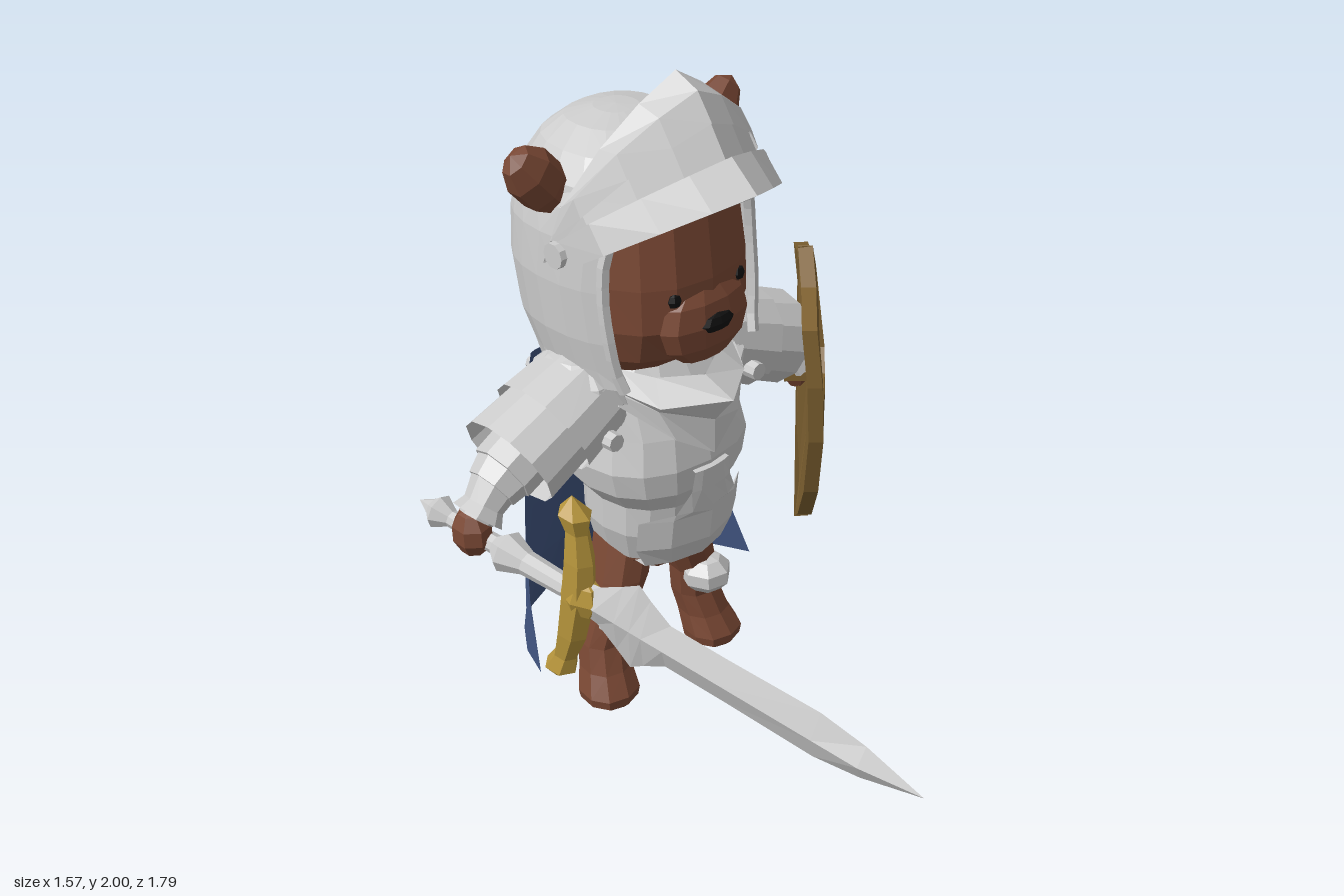
import * as THREE from 'three';

const V = (x, y, z) => new THREE.Vector3(x, y, z);
const mat = (color) => new THREE.MeshStandardMaterial({ color, flatShading: true, side: THREE.DoubleSide });
const steel = mat(0xcccccc), fur = mat(0x7a4834), blue = mat(0x40547f), gold = mat(0xb8963c);
const bronze = mat(0x7d6030), white = mat(0xf0f0e4), black = mat(0x101010);

export function createModel() {
  const model = new THREE.Group();
  const bear = new THREE.Group();
  bear.name = 'bearKnight';
  bear.position.x = -0.095;
  model.add(bear);

  const add = (parent, name, geometry, material, x = 0, y = 0, z = 0) => {
    const m = new THREE.Mesh(geometry, material);
    m.name = name;
    m.position.set(x, y, z);
    parent.add(m);
    return m;
  };
  // Skin a list of equally long point rows
  const grid = (rows) => {
    const n = rows[0].length, index = [];
    for (let i = 0; i < rows.length - 1; i++)
      for (let j = 0; j < n - 1; j++) {
        const a = i * n + j, b = a + n;
        index.push(a, b, b + 1, a, b + 1, a + 1);
      }
    const g = new THREE.BufferGeometry().setFromPoints(rows.flat());
    g.setIndex(index);
    g.computeVertexNormals();
    return g;
  };
  // Rounded ring point; row = [y, half width, back z, front z, centre x]
  const pow = (v) => Math.sign(v) * Math.abs(v) ** 0.87;
  const ringPoint = ([y, rx, zb, zf, cx = 0], a) =>
    V(cx + rx * pow(Math.sin(a)), y, (zb + zf) / 2 + (zf - zb) / 2 * pow(Math.cos(a)));
  const loft = (rows, n, gaps = []) => grid(rows.map((r, i) => {
    const a0 = gaps[i] || 0;
    return Array.from({ length: n + 1 }, (_, j) => ringPoint(r, a0 + (2 * Math.PI - 2 * a0) * j / n));
  }));
  // Tapered tube from a to b
  const rod = (parent, name, a, b, r0, r1, material, sides = 8, open = false) => {
    const m = add(parent, name, new THREE.CylinderGeometry(r1, r0, a.distanceTo(b), sides, 1, open), material);
    m.position.copy(a).lerp(b, 0.5);
    m.quaternion.setFromUnitVectors(V(0, 1, 0), b.clone().sub(a).normalize());
    return m;
  };
  const ball = (parent, name, pos, size, material, w = 8, h = 6) => {
    const m = add(parent, name, new THREE.SphereGeometry(1, w, h), material, ...pos);
    m.scale.set(...size);
    return m;
  };
  // Move the z of each vertex by a rule
  const bendZ = (g, rule) => {
    const p = g.attributes.position;
    for (let i = 0; i < p.count; i++) p.setZ(i, rule(p.getX(i), p.getY(i), p.getZ(i)));
    return g;
  };

  // Head and face
  add(bear, 'head', loft([[1.76, 0, -0.5, -0.5], [1.76, 0.1, -0.62, -0.4], [1.71, 0.2, -0.72, -0.28],
    [1.63, 0.245, -0.76, -0.225], [1.45, 0.262, -0.76, -0.21], [1.32, 0.262, -0.74, -0.215], [1.22, 0.24, -0.7, -0.26],
    [1.16, 0.2, -0.68, -0.34], [1.13, 0.12, -0.6, -0.42], [1.1, 0.12, -0.6, -0.42]], 16), fur);
  ball(bear, 'muzzle', [0, 1.32, -0.25], [0.16, 0.13, 0.062], fur, 10, 6);
  ball(bear, 'nose', [0, 1.325, -0.195], [0.06, 0.028, 0.018], black, 8, 4);

  // Helmet shell, open at the face, with a rim around the opening
  const shell = [[1.845, 0, -0.57, -0.57], [1.842, 0.06, -0.63, -0.51], [1.825, 0.14, -0.7, -0.43], [1.78, 0.21, -0.76, -0.33],
    [1.715, 0.262, -0.805, -0.25], [1.66, 0.285, -0.83, -0.225], [1.58, 0.305, -0.845, -0.215], [1.45, 0.315, -0.85, -0.21],
    [1.3, 0.31, -0.83, -0.2], [1.21, 0.295, -0.79, -0.2], [1.16, 0.29, -0.77, -0.2]];
  const gaps = [0, 0, 0, 0, 0, 0.75, 0.95, 1, 1, 1, 0.95];
  add(bear, 'helmet', loft(shell, 20, gaps), steel);
  const edge = shell.slice(4).map((r, i) => ringPoint(r, gaps[i + 4]));
  const rimPath = [...edge.slice(1).reverse().map((p) => V(-p.x, p.y, p.z)), ...edge];
  add(bear, 'helmetRim', new THREE.TubeGeometry(new THREE.CatmullRomCurve3(rimPath), 28, 0.018, 5), steel);

  // Raised visor: pointed arches from the tip back to the pivots; [y, z] at tip and at pivot
  const archS = [0, 0.14, 0.35, 0.65, 1], archX = [0, 0.11, 0.22, 0.32, 0.345];
  const arch = ([ty, tz, by, bz], k = 1) => [-4, -3, -2, -1, 0, 1, 2, 3, 4].map((i) => {
    const s = archS[Math.abs(i)];
    return V(Math.sign(i) * archX[Math.abs(i)] * k, ty + (by - ty) * s, tz + (bz - tz) * s);
  });
  add(bear, 'visorBrim', grid([arch([1.8, -0.15, 1.59, -0.43], 0.95), arch([1.82, -0.13, 1.6, -0.43]),
    arch([1.74, -0.04, 1.53, -0.4]), arch([1.72, -0.07, 1.53, -0.41], 0.95)]), steel);
  add(bear, 'visorPlate', grid([arch([1.965, -0.25, 1.6, -0.46], 0.97), arch([1.8, -0.15, 1.56, -0.43], 0.97)]), steel);
  add(bear, 'visorCrest', grid([arch([1.96, -0.33, 1.53, -0.47], 0.94), arch([2, -0.33, 1.52, -0.49]),
    arch([1.965, -0.25, 1.6, -0.45]), arch([1.89, -0.2, 1.57, -0.44])]), steel);

  // Torso armour
  add(bear, 'breastplate', loft([[1.2, 0, -0.5, -0.5], [1.2, 0.16, -0.66, -0.36], [1.1, 0.24, -0.71, -0.3],
    [0.97, 0.25, -0.72, -0.25], [0.87, 0.272, -0.715, -0.235], [0.79, 0.255, -0.7, -0.245], [0.72, 0.2, -0.68, -0.285],
    [0.62, 0.2, -0.68, -0.295], [0.52, 0.17, -0.67, -0.33]], 16), steel);
  // rows of [y, half width, z]
  add(bear, 'bellyPlate', grid([[0.865, 0.06, -0.27], [0.855, 0.065, -0.222], [0.79, 0.075, -0.225], [0.72, 0.115, -0.232],
    [0.7, 0.2, -0.235], [0.6, 0.2, -0.25], [0.53, 0.165, -0.285], [0.525, 0.16, -0.34]].map(([y, w, z]) =>
    [-1, -0.6, 0, 0.6, 1].map((u) => V(u * w, y, z - 2.4 * (u * w) ** 2)))), steel);
  const ring = (half) => {
    const h = half.map((p) => V(...p));
    return [...h, ...h.slice(0, -1).reverse().map((p) => V(-p.x, p.y, p.z))];
  };
  add(bear, 'gorget', grid([
    [[0, 1.14, -0.25], [0.12, 1.15, -0.32], [0.18, 1.17, -0.4], [0.2, 1.17, -0.55], [0, 1.17, -0.68]],
    [[0, 1.1, -0.14], [0.16, 1.09, -0.26], [0.22, 1.13, -0.38], [0.23, 1.15, -0.55], [0, 1.17, -0.71]],
    [[0, 1.01, -0.215], [0.15, 1.07, -0.28], [0.23, 1.13, -0.38], [0.24, 1.13, -0.57], [0, 1.13, -0.72]],
    [[0, 0.9, -0.22], [0.12, 0.98, -0.245], [0.24, 1.1, -0.34], [0.26, 1.08, -0.58], [0, 1.06, -0.73]],
  ].map(ring)), steel);
  add(bear, 'hips', loft([[0.62, 0.17, -0.66, -0.36], [0.5, 0.165, -0.65, -0.37],
    [0.43, 0.08, -0.6, -0.42], [0.42, 0, -0.5, -0.5]], 12), fur);

  // Paired parts, drawn for +x and mirrored
  for (const s of [1, -1]) {
    const side = new THREE.Group();
    side.name = s > 0 ? 'leftSide' : 'rightSide';
    side.scale.x = s;
    bear.add(side);
    ball(side, 'eye', [0.117, 1.415, -0.235], [0.024, 0.022, 0.015], black, 6, 4);
    ball(side, 'ear', [0.315, 1.735, -0.53], [0.08, 0.12, 0.06], fur, 7, 5).rotation.z = -0.72;
    rod(side, 'visorPivot', V(0.3, 1.565, -0.43), V(0.36, 1.565, -0.43), 0.04, 0.036, steel, 10);
    // Leg and knee guard
    add(side, 'leg', loft([[0.58, 0.08, -0.62, -0.42, 0.09], [0.42, 0.08, -0.61, -0.42, 0.13], [0.3, 0.068, -0.59, -0.44, 0.17],
      [0.2, 0.075, -0.6, -0.455, 0.19], [0.12, 0.076, -0.59, -0.43, 0.205], [0.05, 0.09, -0.575, -0.395, 0.217],
      [0.02, 0.084, -0.572, -0.4, 0.217], [0, 0.055, -0.55, -0.42, 0.217], [0, 0, -0.49, -0.49, 0.217]], 9), fur);
    ball(side, 'kneeGuard', [0.17, 0.293, -0.455], [0.08, 0.065, 0.085], steel, 7, 5);
    // Arm with layered shoulder plates
    ball(side, 'shoulderCap', [0.25, 1.09, -0.5], [0.14, 0.14, 0.165], steel, 10, 6);
    for (const [name, a, b, r0, r1] of [
      ['upperShoulderPlate', V(0.22, 1.1, -0.5), V(0.38, 1.03, -0.5), 0.14, 0.155],
      ['lowerShoulderPlate', V(0.32, 1.055, -0.5), V(0.505, 0.975, -0.5), 0.135, 0.145]])
      rod(side, name, a, b, r0, r1, steel, 12, true).scale.z = 1.12;
    rod(side, 'upperArm', V(0.3, 1.07, -0.5), V(0.53, 0.95, -0.5), 0.1, 0.095, steel);
    rod(side, 'elbow', V(0.5, 0.965, -0.5), V(0.57, 0.92, -0.5), 0.095, 0.075, steel);
    rod(side, 'forearm', V(0.55, 0.935, -0.5), V(0.63, 0.85, -0.5), 0.072, 0.05, steel);
    rod(side, 'cuff', V(0.595, 0.885, -0.5), V(0.625, 0.855, -0.5), 0.055, 0.075, steel);
    ball(side, 'hand', [0.64, 0.81, -0.51], [0.055, 0.075, 0.062], fur, 7, 5);
    rod(side, 'shoulderRivet', V(0.275, 1.01, -0.36), V(0.275, 1.01, -0.315), 0.028, 0.026, steel);
    rod(side, 'capeRivet', V(0.225, 1.085, -0.66), V(0.225, 1.085, -0.73), 0.026, 0.023, steel);
  }

  // Cape: rows of [y, half width, back z, edge z]
  add(bear, 'cape', grid([[1.12, 0.26, -0.725, -0.685], [1.02, 0.285, -0.75, -0.685], [0.88, 0.32, -0.77, -0.67],
    [0.6, 0.365, -0.785, -0.64], [0.38, 0.4, -0.82, -0.6], [0.17, 0.435, -0.895, -0.53]].map(([y, w, zb, ze]) =>
    Array.from({ length: 11 }, (_, j) => {
      const a = (j / 5 - 1) * Math.PI / 2.4, u = Math.sin(a) / Math.sin(Math.PI / 2.4);
      return V(-w * u, y + 0.025 * u * u, zb + (ze - zb) * (1 - Math.cos(a)) / (1 - Math.cos(Math.PI / 2.4)));
    }))), blue);

  // Sword, built along +z from the guard
  const sword = new THREE.Group();
  sword.name = 'sword';
  sword.position.set(-0.66, 0.735, -0.185);
  sword.lookAt(sword.position.clone().add(V(0.172, -0.168, 1)));
  model.add(sword);
  add(sword, 'blade', grid([[0, 0.05], [0.09, 0.065], [0.16, 0.11], [0.21, 0.145], [0.25, 0.115], [0.32, 0.072], [0.5, 0.072],
    [0.79, 0.077], [0.93, 0.055], [1.11, 0]].map(([z, h]) => {
    const t = h ? 0.028 : 0;
    return [V(t, 0, z), V(0, -h, z), V(-t, 0, z), V(0, h, z), V(t, 0, z)];
  })), steel);
  const guard = new THREE.LatheGeometry([[0, -0.32], [0.045, -0.27], [0.032, -0.22], [0.042, -0.13], [0.048, 0],
    [0.042, 0.13], [0.032, 0.22], [0.045, 0.27], [0, 0.32]].map((p) => new THREE.Vector2(...p)), 6);
  add(sword, 'crossguard', bendZ(guard, (x, y, z) => z * 1.1 + 0.02 - 0.5 * y * y), gold, 0, -0.012, 0);
  ball(sword, 'guardBoss', [0, 0, 0.03], [0.05, 0.065, 0.07], gold, 6, 4);
  const hilt = [[0, -0.55], [0.028, -0.5], [0.05, -0.475], [0.025, -0.43], [0.028, -0.27], [0.06, -0.23], [0.035, -0.16], [0.03, 0]];
  add(sword, 'gripAndPommel', new THREE.LatheGeometry(hilt.map((p) => new THREE.Vector2(...p)), 8), steel).rotation.x = Math.PI / 2;

  // Shield: two halves hinged at the centre ridge, curving back at top and bottom
  const shield = new THREE.Group();
  shield.name = 'shield';
  shield.position.set(0.565, 0, -0.452);
  shield.rotation.y = 0.806;
  model.add(shield);
  const extrude = (pts, depth, holes = []) => {
    const s = new THREE.Shape(pts.map((p) => new THREE.Vector2(...p)));
    s.holes = holes.map((h) => new THREE.Path(h.map((p) => new THREE.Vector2(...p))));
    const g = new THREE.ExtrudeGeometry(s, { depth, bevelEnabled: false });
    return bendZ(g, (x, y, z) => z - 0.2 * (y - 0.78) ** 2);
  };
  const outline = [[0, 1.235], [0.12, 1.155], [0.3, 1.105], [0.312, 0.92], [0.29, 0.72], [0.21, 0.49], [0.11, 0.34], [0, 0.265]];
  const upper = [[0.022, 1.16], [0.13, 1.1], [0.255, 1.06], [0.268, 0.92], [0.258, 0.83], [0.08, 0.84], [0.022, 0.9]];
  const lower = [[0.022, 0.71], [0.08, 0.785], [0.254, 0.785], [0.24, 0.68], [0.17, 0.5], [0.1, 0.4], [0.022, 0.34]];
  for (const s of [1, -1]) {
    const half = new THREE.Group();
    half.name = s > 0 ? 'shieldLeftHalf' : 'shieldRightHalf';
    half.rotation.y = s * 0.07;
    shield.add(half);
    const flip = (pts) => pts.map(([x, y]) => [x * s, y]);
    add(half, 'shieldFrame', extrude(flip(outline), 0.045, [flip(upper), flip(lower)]), bronze, 0, 0, -0.015);
    for (const [name, pts, color] of [['upperField', upper, s > 0 ? blue : white], ['lowerField', lower, s > 0 ? white : blue]]) {
      add(half, name, extrude(flip(pts), 0.012), color);
      add(half, name + 'Back', extrude(flip(pts), 0.012), bronze, 0, 0, -0.014);
    }
  }
  rod(shield, 'shieldStrap', V(-0.02, 0.81, -0.1), V(-0.02, 0.81, 0), 0.03, 0.03, bronze, 6);

  return model;
}
